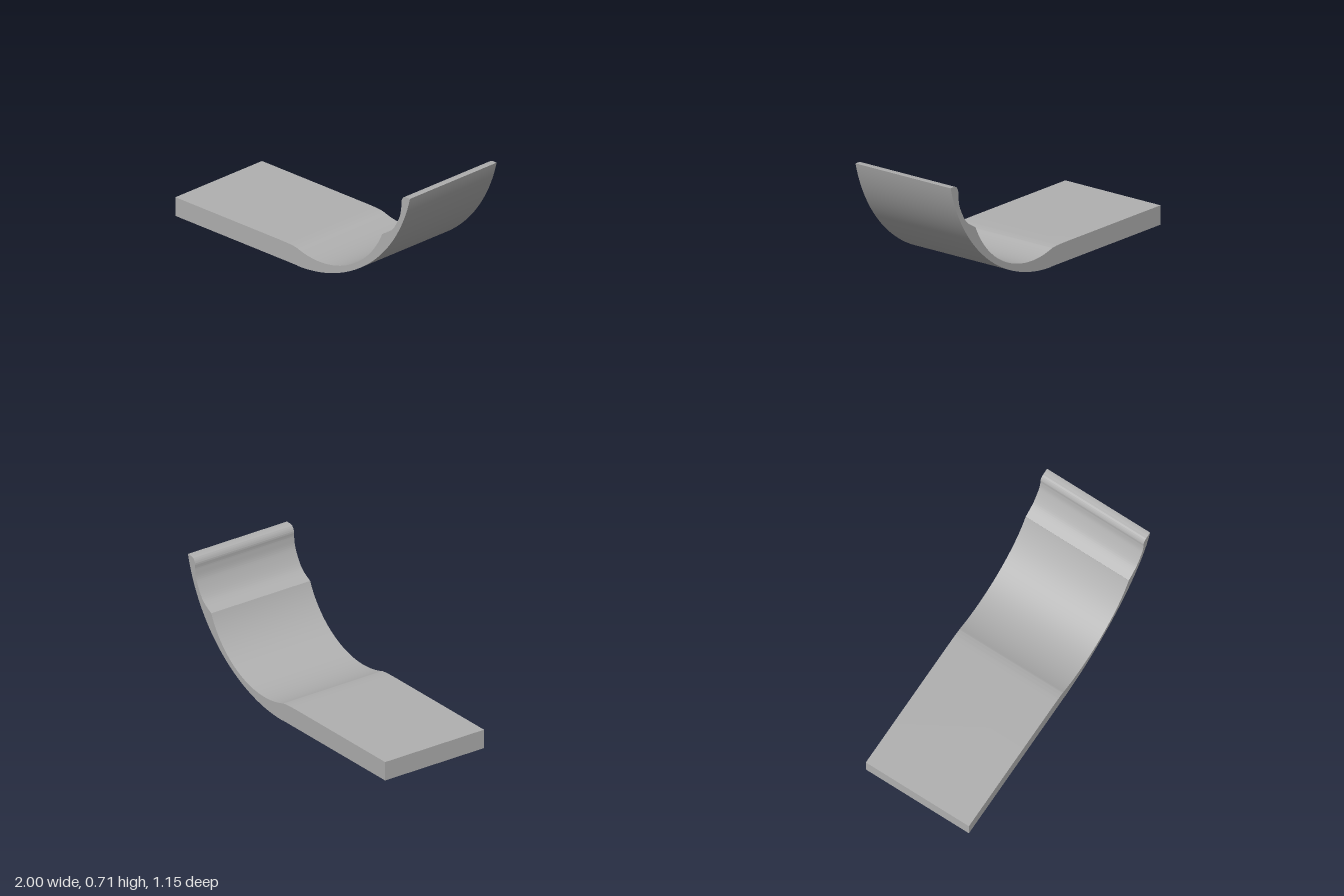
import * as THREE from 'three';
import { toCreasedNormals } from 'three/addons/utils/BufferGeometryUtils.js';

const WIDTH = 0.706;
const YAW = -0.252;
const points = (list) => list.map(([x, y]) => new THREE.Vector2(x, y));

// Side profile: flat slab that sweeps up into a curved, lipped end
function rampProfile() {
  const s = new THREE.Shape();
  s.moveTo(-0.942, 0);
  s.lineTo(0.04, 0);
  // outer sweep
  s.absarc(0.04, 0.927, 0.929, -Math.PI / 2, Math.atan2(-0.222, 0.902), false);
  // rounded lip and the hollow below it
  s.lineTo(0.912, 0.705);
  s.splineThru(points([[0.89, 0.698], [0.874, 0.67], [0.872, 0.63], [0.856, 0.56], [0.8, 0.467], [0.72, 0.414]]));
  // inner sweep
  s.absarc(0.21, 0.635, 0.555, Math.atan2(-0.221, 0.51), Math.atan2(-0.525, -0.18), true);
  // soft transition onto the flat top
  s.splineThru(points([[-0.015, 0.115], [-0.1, 0.117]]));
  s.lineTo(-0.942, 0.117);
  s.closePath();
  return s;
}

export function createModel() {
  const group = new THREE.Group();
  const grey = new THREE.MeshStandardMaterial({ color: 0xb0b0b0 });
  grey.name = 'grey';

  const geometry = new THREE.ExtrudeGeometry(rampProfile(), {
    depth: WIDTH, bevelEnabled: false, curveSegments: 32,
  });
  geometry.translate(0, 0, -WIDTH / 2);

  const ramp = new THREE.Mesh(toCreasedNormals(geometry, 0.38), grey);
  ramp.name = 'curvedRamp';
  ramp.rotation.y = YAW;
  group.add(ramp);
  return group;
}
